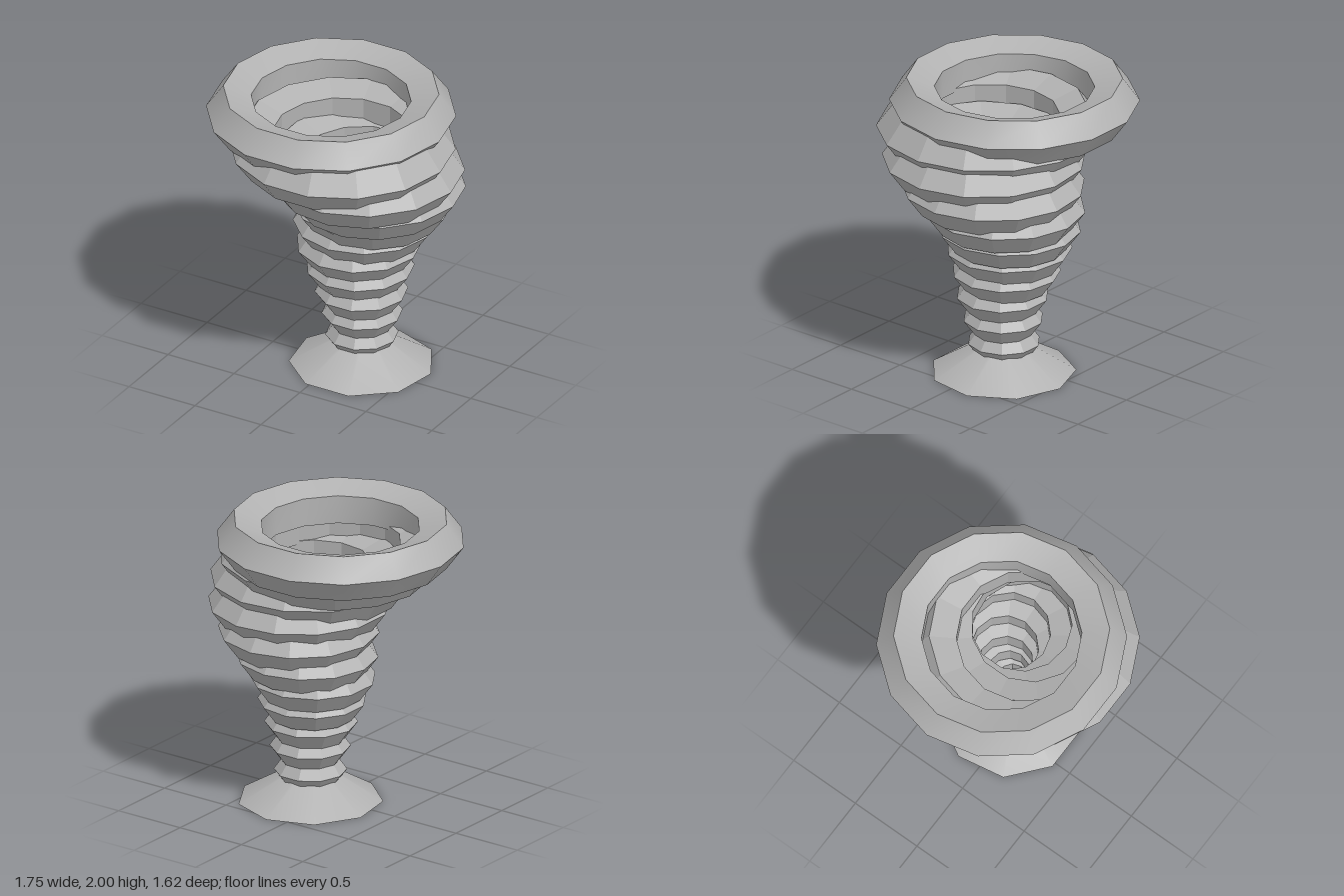
import * as THREE from 'three';
import { toCreasedNormals } from 'three/addons/utils/BufferGeometryUtils.js';

export function createModel() {
  const model = new THREE.Group();
  model.name = 'whirlwind';
  const grey = new THREE.MeshStandardMaterial({ color: 0xb2b2b2 });
  grey.name = 'dust grey';

  const add = (name, geometry, x, y, z) => {
    const mesh = new THREE.Mesh(toCreasedNormals(geometry, 0.46), grey);
    mesh.name = name;
    mesh.position.set(x, y, z);
    model.add(mesh);
  };

  // Flared foot: nine-sided cone with a vertex at the back
  const footHeight = 0.26;
  add('foot', new THREE.CylinderGeometry(0.05, 0.48, footHeight, 9, 1, false, Math.PI),
    0.135, footHeight / 2, -0.07);

  // Stacked rings, bottom to top: x, y, z, outer radius, tube radius, sides
  const rings = [
    [0.130, 0.210, -0.074, 0.240, 0.100, 10],
    [0.134, 0.375, -0.071, 0.266, 0.107, 10],
    [0.132, 0.540, -0.064, 0.307, 0.116, 10],
    [0.112, 0.705, -0.079, 0.358, 0.124, 11],
    [0.097, 0.867, -0.090, 0.415, 0.130, 11],
    [0.125, 1.030, -0.119, 0.470, 0.137, 12],
    [0.185, 1.193, -0.127, 0.531, 0.144, 12],
    [0.226, 1.355, -0.061, 0.604, 0.150, 13],
    [0.200, 1.517, 0.035, 0.670, 0.155, 13],
    [0.077, 1.680, 0.088, 0.743, 0.159, 14],
    [-0.063, 1.845, -0.006, 0.819, 0.163, 14],
  ];
  rings.forEach(([x, y, z, outer, tube, sides], i) => {
    // five-sided tube with its edge pointing outwards
    let ring = new THREE.TorusGeometry(outer - tube, tube, 5, sides).rotateX(Math.PI / 2);
    // only the top ring is smooth around its circumference
    if (i < rings.length - 1) {
      ring = ring.toNonIndexed();
      ring.computeVertexNormals();
      const mesh = new THREE.Mesh(ring, grey);
      mesh.name = `windRing${i + 1}`;
      mesh.position.set(x, y, z);
      model.add(mesh);
    } else add('topRing', ring, x, y, z);
  });

  return model;
}
